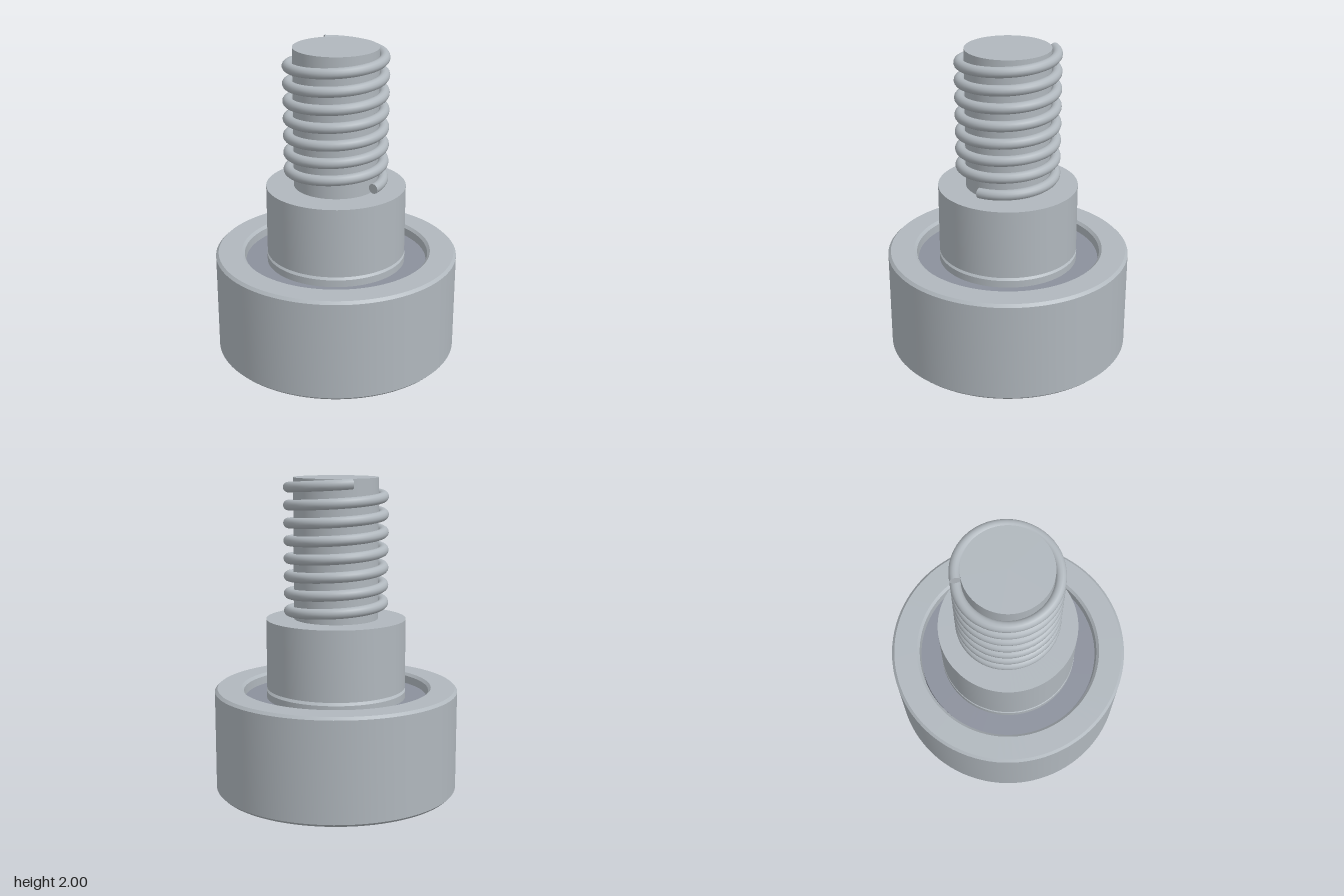
import * as THREE from 'three';
import { toCreasedNormals } from 'three/addons/utils/BufferGeometryUtils.js';

const steel = new THREE.MeshStandardMaterial({ color: 0xb0b7bd });
steel.name = 'steel';
const sealGrey = new THREE.MeshStandardMaterial({ color: 0x8b909c });
sealGrey.name = 'seal grey';

// Solid of revolution from [radius, height] pairs, listed bottom to top on the outside
function turned(name, profile, material) {
  const points = profile.map(([r, y]) => new THREE.Vector2(r, y));
  const geometry = toCreasedNormals(new THREE.LatheGeometry(points, 96), 0.4);
  const mesh = new THREE.Mesh(geometry, material);
  mesh.name = name;
  return mesh;
}

// Closed ring with chamfered edges (co on the outside, ci on the bore)
function ring(name, ri, ro, y0, y1, co, ci, material) {
  return turned(name, [
    [ri + ci, y0], [ro - co, y0], [ro, y0 + co], [ro, y1 - co], [ro - co, y1],
    [ri + ci, y1], [ri, y1 - ci], [ri, y0 + ci], [ri + ci, y0],
  ], material);
}

class Helix extends THREE.Curve {
  constructor(radius, y0, pitch, turns) {
    super();
    Object.assign(this, { radius, y0, pitch, turns });
  }
  getPoint(t, target = new THREE.Vector3()) {
    const a = t * this.turns * Math.PI * 2;
    return target.set(
      this.radius * Math.cos(a),
      this.y0 + this.pitch * this.turns * t,
      -this.radius * Math.sin(a));
  }
}

export function createModel() {
  const model = new THREE.Group();
  model.name = 'rollerStud';

  // Bearing: outer race, recessed seal with a fine clearance gap, inner race
  const height = 0.667;
  model.add(ring('outerRace', 0.592, 0.777, 0, height, 0.017, 0.017, steel));
  const seal = turned('seal', [
    [0.44, 0.065], [0.583, 0.065], [0.583, 0.602], [0.44, 0.602],
  ], sealGrey);
  model.add(seal);
  model.add(ring('innerRace', 0.345, 0.445, 0, height, 0.02, 0.008, steel));

  // Stepped shaft: bearing seat, collar and stud in one turned piece
  model.add(turned('steppedShaft', [
    [0, 0], [0.333, 0], [0.342, 0.009], [0.342, height], [0.443, height],
    [0.443, 1.112], [0.267, 1.112], [0.267, 2], [0, 2],
  ], steel));

  // Coil spring with flat ends
  const wire = 0.033, turns = 7.4;
  const helix = new Helix(0.298, 1.15, 0.111, turns);
  const spring = new THREE.Group();
  spring.name = 'coilSpring';
  const coil = new THREE.Mesh(new THREE.TubeGeometry(helix, 400, wire, 14), steel);
  coil.name = 'springWire';
  spring.add(coil);
  for (const [t, dir, name] of [[0, -1, 'springStartCap'], [1, 1, 'springEndCap']]) {
    const cap = new THREE.Mesh(new THREE.CircleGeometry(wire, 14), steel);
    cap.name = name;
    cap.position.copy(helix.getPoint(t));
    cap.quaternion.setFromUnitVectors(
      new THREE.Vector3(0, 0, 1), helix.getTangent(t).multiplyScalar(dir));
    spring.add(cap);
  }
  model.add(spring);

  return model;
}
